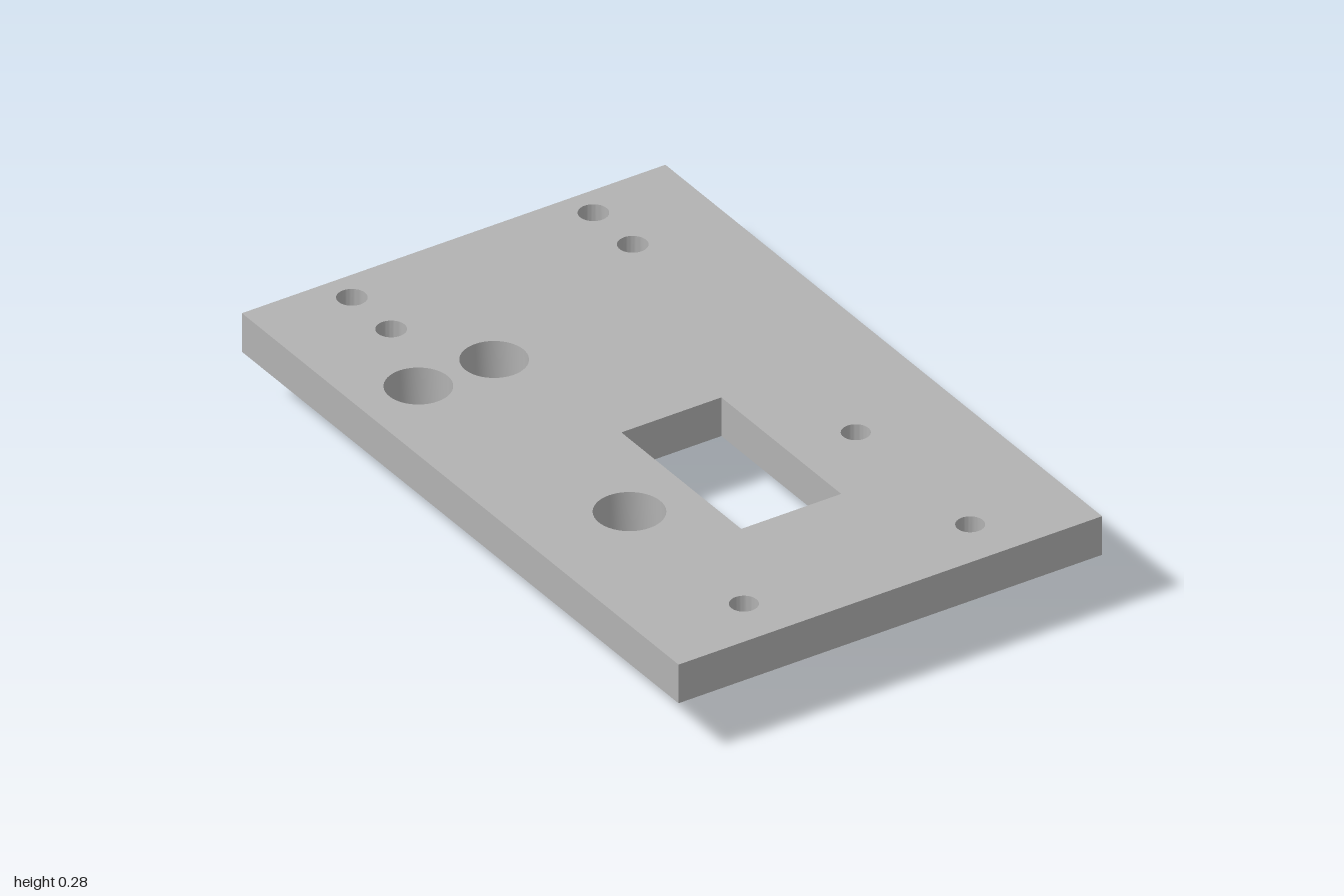
import * as THREE from 'three';
import { toCreasedNormals } from 'three/addons/utils/BufferGeometryUtils.js';

const PLATE_BOTTOM = 0.16;
const PLATE_TOP = 0.275;

// Round hole at plan position x, z (shape y is -z)
function roundHole(x, z, r) {
  return new THREE.Path().absarc(x, -z, r, 0, Math.PI * 2, true);
}

// Extrude a plan shape upwards from y0 to y1, smooth on curved walls
function extrudeUp(shape, y0, y1) {
  const geometry = new THREE.ExtrudeGeometry(shape, { depth: y1 - y0, bevelEnabled: false, curveSegments: 24 });
  geometry.rotateX(-Math.PI / 2).translate(0, y0, 0);
  return toCreasedNormals(geometry, 0.6);
}

function rectPoints(x0, x1, z0, z1) {
  return [[x0, -z1], [x1, -z1], [x1, -z0], [x0, -z0]].map(([x, y]) => new THREE.Vector2(x, y));
}

export function createModel() {
  const model = new THREE.Group();
  model.name = 'mountingPlate';
  const grey = new THREE.MeshStandardMaterial({ color: 0xb2b2b2 });
  grey.name = 'plain grey';

  function add(name, geometry) {
    const mesh = new THREE.Mesh(geometry, grey);
    mesh.name = name;
    model.add(mesh);
  }

  // Bosses: x, z, outer radius, bore radius
  const bosses = [
    ['largeBoss', -0.343, 0.325, 0.137, 0.093],
    ['smallBoss', 0.341, 0.325, 0.103, 0.038],
  ];

  // Plate holes: x, z, radius
  const holes = [
    [-0.367, -0.91, 0.04], [0.363, -0.91, 0.04],
    [-0.367, -0.73, 0.04], [0.363, -0.73, 0.04],
    [-0.459, -0.466, 0.088], [-0.23, -0.466, 0.088],
    [-0.343, 0.849, 0.038], [0.341, 0.849, 0.038],
  ];

  // Plate with rectangular window, screw holes and boss bores
  const plate = new THREE.Shape(rectPoints(-0.64, 0.64, -1, 1));
  plate.holes.push(new THREE.Path(rectPoints(-0.153, 0.149, 0, 0.549).reverse()));
  holes.forEach(([x, z, r]) => plate.holes.push(roundHole(x, z, r)));
  bosses.forEach(([, x, z, , bore]) => plate.holes.push(roundHole(x, z, bore)));
  add('plate', extrudeUp(plate, PLATE_BOTTOM, PLATE_TOP));

  // Hollow bosses below the plate
  bosses.forEach(([name, x, z, r, bore]) => {
    const ring = new THREE.Shape();
    ring.absarc(x, -z, r, 0, Math.PI * 2, false);
    ring.holes.push(roundHole(x, z, bore));
    add(name, extrudeUp(ring, 0, PLATE_BOTTOM));
  });

  return model;
}
